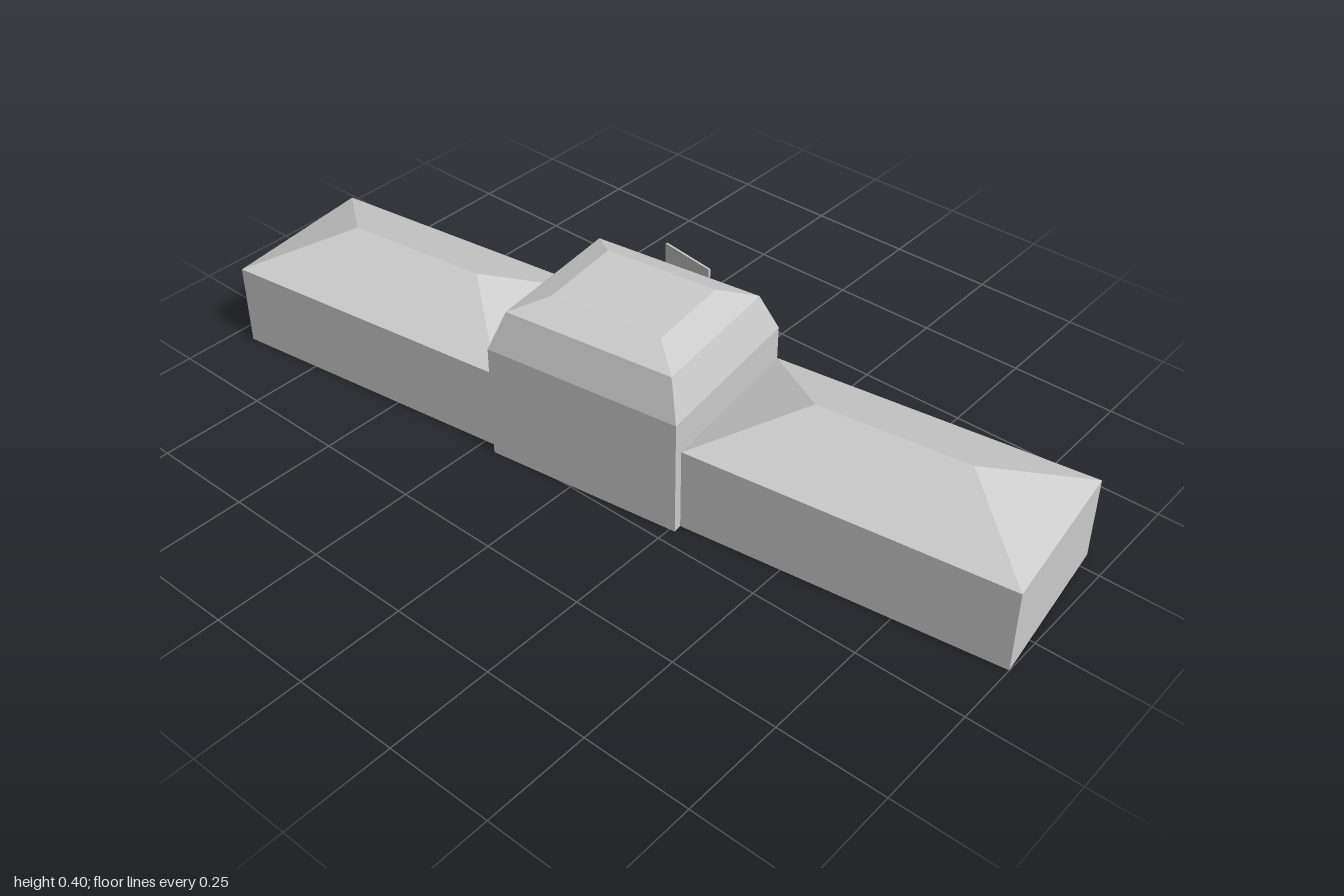
import * as THREE from 'three';

const grey = new THREE.MeshStandardMaterial({ color: 0xcccccc, side: THREE.DoubleSide });
grey.name = 'plain grey';

// Rectangle rings [x0, x1, z0, z1, y] joined bottom to top into flat faces, optionally capped
function loft(name, rings, cap) {
  const pos = [];
  const quad = (a, b, c, d) => pos.push(...a, ...b, ...c, ...a, ...c, ...d);
  const loops = rings.map(([x0, x1, z0, z1, y]) =>
    [[x0, y, z1], [x1, y, z1], [x1, y, z0], [x0, y, z0]]);
  for (let r = 0; r + 1 < loops.length; r++) {
    for (let i = 0; i < 4; i++) {
      const j = (i + 1) % 4;
      quad(loops[r][i], loops[r][j], loops[r + 1][j], loops[r + 1][i]);
    }
  }
  if (cap) quad(...loops[loops.length - 1]);
  const geo = new THREE.BufferGeometry();
  geo.setAttribute('position', new THREE.Float32BufferAttribute(pos, 3));
  geo.computeVertexNormals();
  const mesh = new THREE.Mesh(geo, grey);
  mesh.name = name;
  return mesh;
}

function box(name, w, h, d, x, y, z) {
  const mesh = new THREE.Mesh(new THREE.BoxGeometry(w, h, d), grey);
  mesh.name = name;
  mesh.position.set(x, y, z);
  return mesh;
}

// Thin rectangular window frame
function frameGeometry(w, h, t) {
  const rect = (P, a, b) => {
    const p = new P();
    p.moveTo(-a, -b); p.lineTo(a, -b); p.lineTo(a, b); p.lineTo(-a, b); p.closePath();
    return p;
  };
  const shape = rect(THREE.Shape, w / 2, h / 2);
  shape.holes.push(rect(THREE.Path, w / 2 - t, h / 2 - t));
  return new THREE.ExtrudeGeometry(shape, { depth: 0.004, bevelEnabled: false });
}

export function createModel() {
  const model = new THREE.Group();
  model.name = 'longBuilding';

  // Building, turned slightly on its plot
  const building = new THREE.Group();
  building.name = 'building';
  building.position.z = 0.03;
  building.rotation.y = 0.13;
  model.add(building);

  const IN = 0.237, OUT = 0.983, D = 0.194;

  // Wings: open-bottomed walls with a ceiling, and a hipped roof
  for (const s of [-1, 1]) {
    const side = s < 0 ? 'right' : 'left';
    const x0 = s < 0 ? -OUT : IN, x1 = s < 0 ? -IN : OUT, hip = 0.197;
    building.add(
      loft(side + 'WingWalls', [[x0, x1, -D, D, 0], [x0, x1, -D, D, 0.2]], true),
      loft(side + 'WingRoof', [[x0, x1, -D, D, 0.2], [x0 + hip, x1 - hip, 0, 0, 0.282]], false));
  }

  // Central hall with a two-pitch mansard roof
  building.add(
    loft('hallWalls', [[-IN, IN, -D, 0.215, 0], [-IN, IN, -D, 0.215, 0.281]], false),
    loft('hallRoof', [
      [-IN, IN, -D, 0.215, 0.281],
      [-0.206, 0.206, -0.158, 0.185, 0.372],
      [-0.137, 0.137, -0.092, 0.118, 0.4]], true));

  // Two rows of windows along the back
  const windows = new THREE.Group();
  windows.name = 'backWindows';
  const frame = frameGeometry(0.036, 0.066, 0.006);
  for (const y of [0.055, 0.143]) {
    for (let i = 0; i < 22; i++) {
      const w = new THREE.Mesh(frame, grey);
      w.name = 'windowFrame';
      w.position.set(-0.935 + i * 1.87 / 21, y, -D - 0.004);
      windows.add(w);
    }
  }
  building.add(windows);

  // Entrance canopy on slim posts, angled away from the back wall
  const canopy = new THREE.Group();
  canopy.name = 'canopy';
  canopy.position.set(-0.038, 0, -0.2325);
  canopy.rotation.y = -0.139;
  canopy.add(box('canopySlab', 0.722, 0.003, 0.147, 0, 0.0955, 0));
  for (let i = 0; i < 7; i++) {
    canopy.add(box('canopyPost', 0.005, 0.094, 0.005, -0.345 + i * 0.115, 0.047, -0.066));
  }
  model.add(canopy);

  // Ledge and plain round-faced board above the entrance
  const ledge = box('ledge', 0.3, 0.007, 0.014, -0.117, 0.2795, -0.18);
  ledge.rotation.y = -0.139;
  const board = new THREE.Group();
  board.name = 'wallBoard';
  board.position.set(-0.03, 0.329, -0.173);
  board.rotation.y = -0.139;
  board.add(box('boardPanel', 0.14, 0.086, 0.005, 0, 0, 0));
  const disc = new THREE.Mesh(new THREE.CylinderGeometry(0.028, 0.028, 0.003, 20), grey);
  disc.name = 'boardDisc';
  disc.rotation.x = Math.PI / 2;
  disc.position.z = -0.003;
  board.add(disc);
  model.add(ledge, board);

  return model;
}
